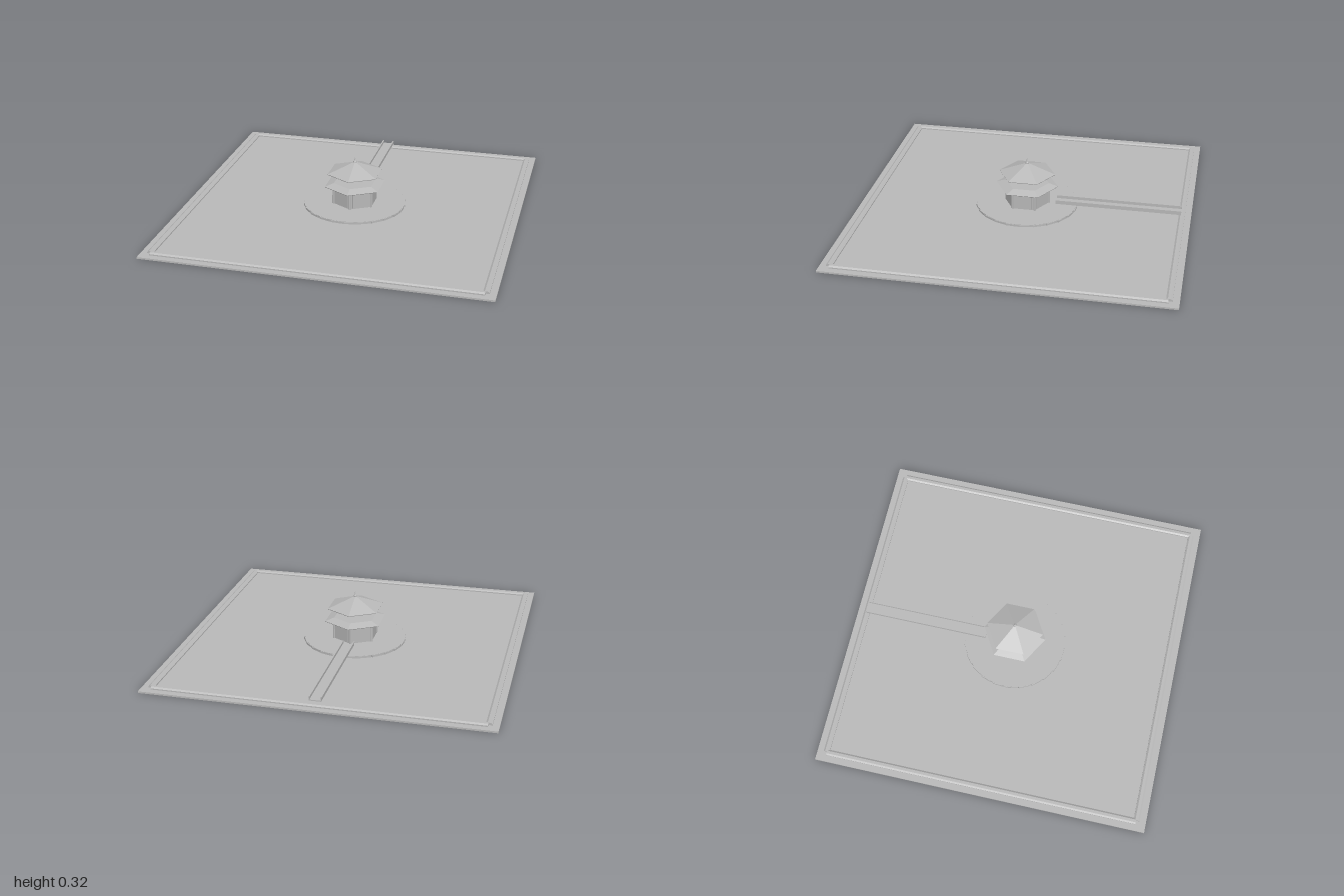
import * as THREE from 'three';

export function createModel() {
  const model = new THREE.Group();
  const stone = new THREE.MeshStandardMaterial({ color: 0xb8b8b8 });
  stone.name = 'grey stone';

  function add(name, geometry, x = 0, y = 0, z = 0, parent = model) {
    // Unshared corners give crisp faceted shading
    const g = geometry.index ? geometry.toNonIndexed() : geometry;
    g.computeVertexNormals();
    const mesh = new THREE.Mesh(g, stone);
    mesh.name = name;
    mesh.position.set(x, y, z);
    parent.add(mesh);
    return mesh;
  }
  const box = (w, h, d) => new THREE.BoxGeometry(w, h, d);
  // Six-sided pieces have corners on the z axis
  const hex = (top, bottom, h) => new THREE.CylinderGeometry(top, bottom, h, 6);

  // Courtyard slab
  add('ground', box(2, 0.01, 2), 0, 0.005, 0);

  // Low perimeter walls with a bevelled coping
  const section = new THREE.Shape([
    [-0.018, 0], [0.018, 0], [0.018, 0.007], [0.008, 0.014], [-0.008, 0.014], [-0.018, 0.007],
  ].map(([x, y]) => new THREE.Vector2(x, y)));
  for (let i = 0; i < 4; i++) {
    const side = new THREE.Group();
    side.name = 'perimeterWall';
    side.rotation.y = i * Math.PI / 2;
    model.add(side);
    const wall = new THREE.ExtrudeGeometry(section, { depth: 1.88, bevelEnabled: false });
    wall.translate(0, 0, -0.94);
    add('wall', wall, 0.944, 0.01, 0, side);
  }

  // Round terrace edged with small kerb stones
  add('terrace', new THREE.CylinderGeometry(0.307, 0.307, 0.015, 48), 0, 0.0175, 0);
  for (let i = 0; i < 24; i++) {
    const a = (i + 0.5) * Math.PI / 12;
    const kerb = add('kerbStone', box(0.06, 0.012, 0.012),
      Math.sin(a) * 0.304, 0.018, Math.cos(a) * 0.304);
    kerb.rotation.y = a + 0.06;
  }

  // Pavilion body with a post at each corner and a panel on each side
  add('pavilionBody', hex(0.134, 0.134, 0.112), 0, 0.081, 0);
  for (let i = 0; i < 6; i++) {
    const a = i * Math.PI / 3;
    add('cornerPost', new THREE.CylinderGeometry(0.007, 0.007, 0.112, 8),
      Math.sin(a) * 0.134, 0.081, Math.cos(a) * 0.134);
    const b = a + Math.PI / 6;
    const panel = add('wallPanel', box(0.1, 0.1, 0.008),
      Math.sin(b) * 0.118, 0.081, Math.cos(b) * 0.118);
    panel.rotation.y = b;
  }

  // Lower skirt roof, raised upper roof and finial
  add('lowerRoofEave', hex(0.19, 0.187, 0.004), 0, 0.138, 0);
  add('lowerRoof', hex(0.133, 0.19, 0.018), 0, 0.149, 0);
  add('upperRoofEave', hex(0.172, 0.17, 0.004), 0, 0.217, 0);
  add('upperRoof', hex(0.008, 0.172, 0.062), 0, 0.25, 0);
  add('finialBase', new THREE.SphereGeometry(0.011, 10, 6), 0, 0.283, 0);
  add('finialSpike', new THREE.ConeGeometry(0.008, 0.03, 8), 0, 0.301, 0);

  // Raised walkway to the back wall
  const walkway = new THREE.Group();
  walkway.name = 'walkway';
  model.add(walkway);
  add('deck', box(0.07, 0.006, 0.76), 0, 0.041, -0.56, walkway);
  for (const s of [-1, 1]) {
    add('railing', box(0.005, 0.018, 0.76), s * 0.0335, 0.05, -0.56, walkway);
    add('handrail', box(0.008, 0.005, 0.76), s * 0.0335, 0.0605, -0.56, walkway);
  }
  return model;
}
